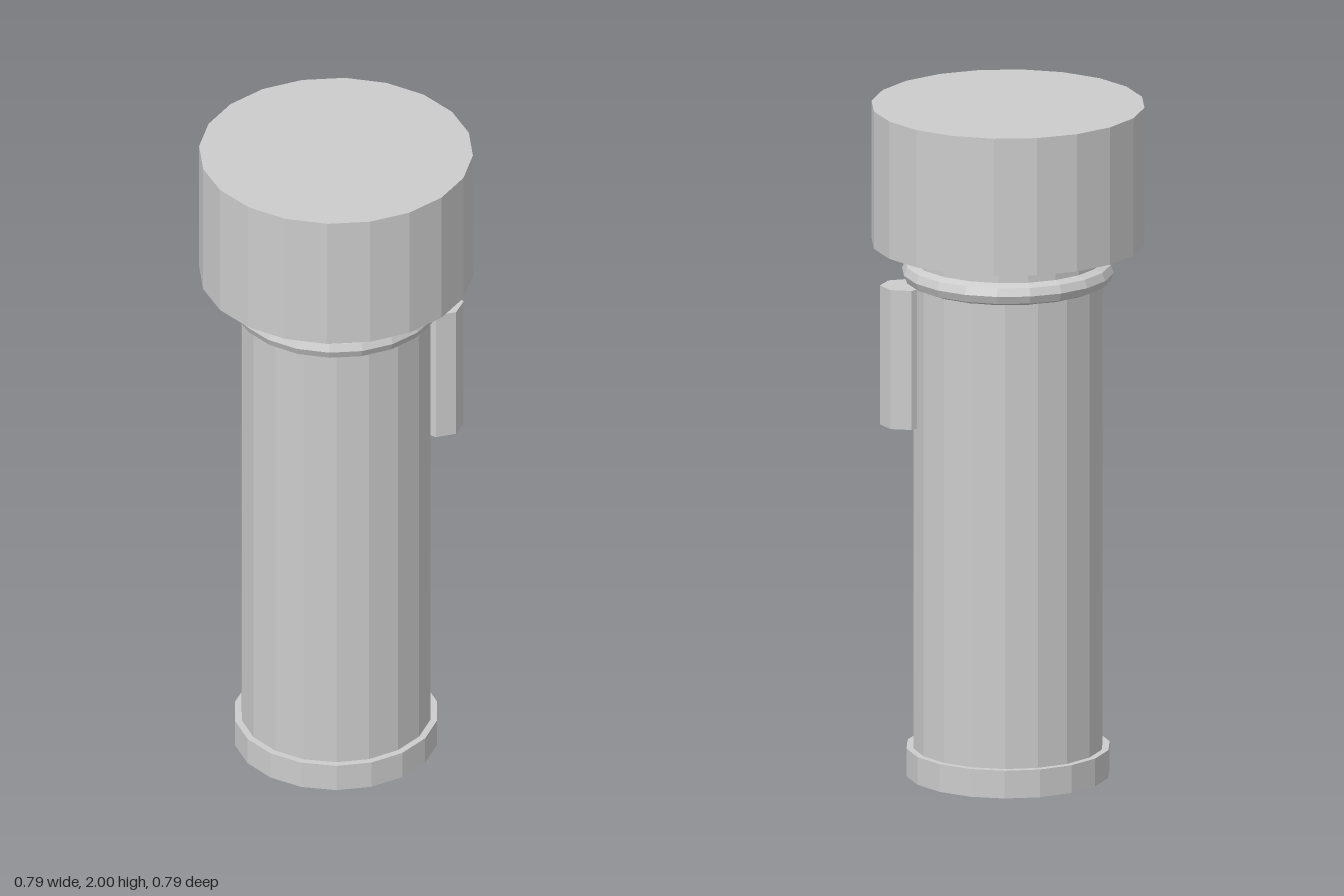
import * as THREE from 'three';

const material = new THREE.MeshStandardMaterial({ color: 0xcccccc, flatShading: true });

export function createModel() {
  const group = new THREE.Group();
  group.name = 'flashlight';

  const add = (name, geometry, x, y, z) => {
    const mesh = new THREE.Mesh(geometry, material);
    mesh.name = name;
    mesh.position.set(x, y, z);
    group.add(mesh);
    return mesh;
  };

  // Upright faceted cylinder from y0 to y1; turn sets where its corners lie
  const barrel = (name, radius, y0, y1, sides, turn = 0, x = 0, z = 0) => {
    const geometry = new THREE.CylinderGeometry(radius, radius, y1 - y0, sides);
    geometry.rotateY(turn);
    return add(name, geometry, x, (y0 + y1) / 2, z);
  };

  // Handle and end cap share 18 sides with corners on the x axis
  barrel('endCap', 0.297, 0, 0.083, 18, Math.PI / 2);
  barrel('handle', 0.277, 0.083, 1.5, 18, Math.PI / 2);

  // Neck and wide lamp head
  barrel('neck', 0.275, 1.5, 1.589, 20);
  barrel('lampHead', 0.397, 1.589, 2, 20);

  // Rounded ring where the handle meets the neck
  const ring = new THREE.TorusGeometry(0.275, 0.033, 8, 20);
  ring.rotateX(Math.PI / 2);
  add('collarRing', ring, 0, 1.503, 0);

  // Seven-sided switch half sunk into the front left of the handle
  barrel('switch', 0.071, 1.047, 1.463, 7, Math.PI / 4, 0.212, 0.212);

  return group;
}
